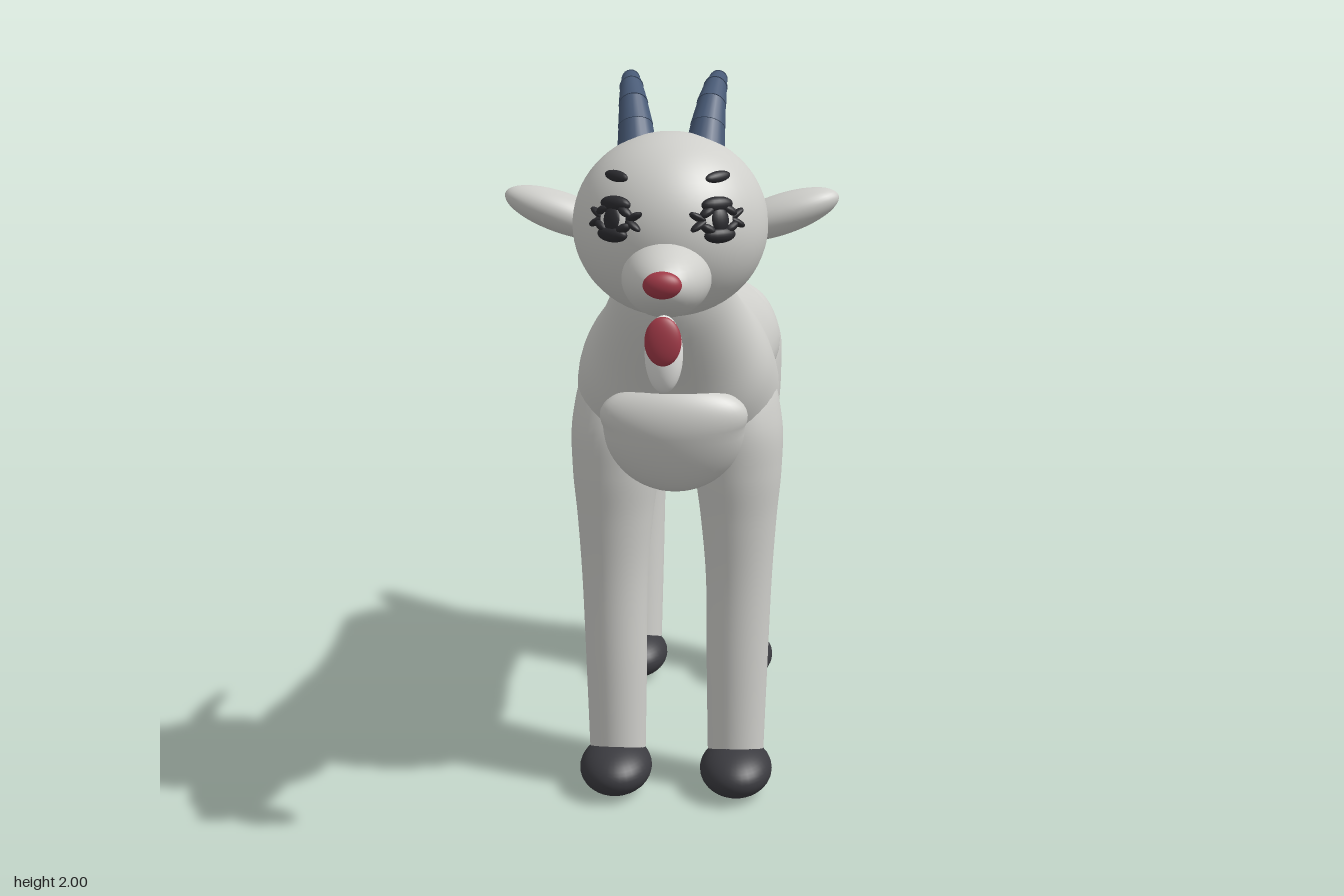
import * as THREE from 'three';

const mat = (name, color) => Object.assign(new THREE.MeshStandardMaterial({ color }), { name });

// Catmull-Rom interpolation through rows of numbers
function sample(rows, t) {
  const n = rows.length - 1;
  const i = Math.min(Math.floor(t * n), n - 1);
  const f = t * n - i;
  const p = k => rows[Math.max(0, Math.min(n, k))];
  return rows[0].map((_, c) => {
    const [a, b, d, e] = [p(i - 1)[c], p(i)[c], p(i + 1)[c], p(i + 2)[c]];
    return b + 0.5 * f * (d - a + f * (2 * a - 5 * b + 4 * d - e + f * (3 * (b - d) + e - a)));
  });
}

// Smooth closed skin; point(row, angle) places each vertex on its ring
function loft(rows, point, steps = 48, sides = 40) {
  const pos = [], idx = [];
  for (let i = 0; i <= steps; i++) {
    const row = sample(rows, i / steps);
    for (let j = 0; j < sides; j++) pos.push(...point(row, j / sides * Math.PI * 2));
  }
  for (let i = 0; i < steps; i++) {
    for (let j = 0; j < sides; j++) {
      const k = (j + 1) % sides;
      const a = i * sides + j, b = i * sides + k, c = a + sides, d = b + sides;
      idx.push(a, b, d, a, d, c);
    }
  }
  const g = new THREE.BufferGeometry();
  g.setAttribute('position', new THREE.Float32BufferAttribute(pos, 3));
  g.setIndex(idx);
  g.computeVertexNormals();
  return g;
}

// Upright limb: rows are [y, z, x, radiusZ, radiusX]
const limb = (rows, side = 1) => loft(rows, ([y, z, x, rz, rx], t) =>
  [side * x + Math.max(rx, 0) * Math.sin(t), y, z + Math.max(rz, 0) * Math.cos(t)]);

export function createModel() {
  const goat = new THREE.Group();
  goat.name = 'goat';
  const coat = mat('coatGrey', 0xcfcfcb);
  const pale = mat('paleWhite', 0xe2e2df);
  const hoofMat = mat('hoofCharcoal', 0x3b3b40);
  const black = mat('eyeBlack', 0x2b2b2f);
  const red = mat('noseRed', 0xa23a48);
  const hornMat = mat('hornBlue', 0x485a76);

  const add = (name, geo, m, parent = goat) => {
    const mesh = new THREE.Mesh(geo, m);
    mesh.name = name;
    parent.add(mesh);
    return mesh;
  };
  const ball = (name, m, p, r, rot = [0, 0, 0], parent = goat, seg = 32) => {
    const mesh = add(name, new THREE.SphereGeometry(1, seg, seg * 0.75), m, parent);
    mesh.position.set(...p);
    mesh.scale.set(...r);
    mesh.rotation.set(...rot);
    return mesh;
  };

  // Neck and torso: [topZ, topY, bottomZ, bottomY, halfWidth]
  const torso = [
    [0.36, 1.60, 0.52, 1.50, 0.12], [0.27, 1.54, 0.50, 1.38, 0.15],
    [0.17, 1.48, 0.41, 1.20, 0.20], [0.06, 1.44, 0.33, 1.05, 0.25],
    [-0.03, 1.41, 0.20, 0.92, 0.27], [-0.10, 1.40, 0.0, 0.88, 0.265],
    [-0.27, 1.38, -0.25, 0.875, 0.24], [-0.45, 1.35, -0.48, 0.885, 0.255],
    [-0.60, 1.32, -0.62, 0.92, 0.275], [-0.72, 1.30, -0.72, 0.97, 0.25],
    [-0.79, 1.26, -0.78, 1.02, 0.17], [-0.80, 1.15, -0.80, 1.15, 0],
  ];
  add('torso', loft(torso, ([tz, ty, bz, by, w], t) => {
    const c = Math.cos(t);
    return [w * Math.sin(t) * (1 - 0.15 * c), (ty + by) / 2 + (ty - by) / 2 * c, (tz + bz) / 2 + (tz - bz) / 2 * c];
  }, 72, 48), coat);

  // Tail running down into the rump
  add('tail', limb([
    [0.94, -0.755, 0, 0, 0], [0.945, -0.755, 0, 0.025, 0.03], [1.01, -0.74, 0, 0.055, 0.08],
    [1.10, -0.765, 0, 0.065, 0.10], [1.21, -0.80, 0, 0.065, 0.085], [1.29, -0.84, 0, 0.052, 0.055],
    [1.345, -0.866, 0, 0.043, 0.045], [1.38, -0.873, 0, 0.026, 0.027], [1.39, -0.874, 0, 0, 0],
  ]), coat);

  // Chest patch with a flattened top edge
  const chestGeo = new THREE.SphereGeometry(1, 40, 30);
  const cp = chestGeo.attributes.position;
  for (let i = 0; i < cp.count; i++) {
    const y = cp.getY(i);
    if (y > 0) cp.setXYZ(i, cp.getX(i) * (1 + 0.3 * y), y * 0.115, cp.getZ(i));
    else cp.setY(i, y * 0.19);
  }
  chestGeo.computeVertexNormals();
  const chest = add('chestPatch', chestGeo, coat);
  chest.position.set(0, 1.085, 0.35);
  chest.scale.set(0.185, 1, 0.085);
  chest.rotation.x = 0.2;

  // Legs and hooves
  const front = [
    [0.11, 0.195, 0.165, 0.076, 0.078], [0.35, 0.186, 0.167, 0.081, 0.084],
    [0.60, 0.178, 0.17, 0.084, 0.090], [0.78, 0.175, 0.168, 0.095, 0.103],
    [0.92, 0.172, 0.165, 0.11, 0.118], [1.06, 0.16, 0.16, 0.12, 0.122],
    [1.20, 0.13, 0.14, 0.10, 0.10], [1.30, 0.10, 0.11, 0, 0],
  ];
  const rear = [
    [0.11, -0.645, 0.165, 0.077, 0.078], [0.35, -0.682, 0.166, 0.088, 0.084],
    [0.55, -0.699, 0.168, 0.095, 0.09], [0.72, -0.693, 0.17, 0.103, 0.097],
    [0.86, -0.660, 0.168, 0.125, 0.109], [0.98, -0.640, 0.165, 0.143, 0.118],
    [1.11, -0.650, 0.16, 0.13, 0.118], [1.22, -0.66, 0.135, 0.09, 0.09], [1.29, -0.66, 0.11, 0, 0],
  ];

  // Head, muzzle, nose, tongue and beard
  ball('head', coat, [0, 1.645, 0.513], [0.24, 0.226, 0.236], [0, 0, 0], goat, 48);
  ball('muzzle', coat, [0, 1.548, 0.685], [0.108, 0.093, 0.205], [-0.06, 0, 0]);
  ball('nose', red, [0, 1.57, 0.892], [0.045, 0.032, 0.026]);
  ball('tongue', red, [0, 1.433, 0.87], [0.043, 0.058, 0.018], [-0.08, 0, 0]);
  ball('beard', pale, [0, 1.393, 0.828], [0.045, 0.092, 0.041], [-0.08, 0, 0]);

  const headCentre = new THREE.Vector3(0, 1.645, 0.513);
  // A group on the head surface whose z axis points outward
  const onHead = (name, x, y, z) => {
    const g = new THREE.Group();
    g.name = name;
    g.position.set(x, y, z);
    g.lookAt(new THREE.Vector3(x, y, z).multiplyScalar(2).sub(headCentre));
    goat.add(g);
    return g;
  };

  for (const s of [1, -1]) {
    const side = s > 0 ? 'left' : 'right';
    add(side + 'FrontLeg', limb(front, s), coat);
    add(side + 'RearLeg', limb(rear, s), coat);
    ball(side + 'FrontHoof', hoofMat, [s * 0.167, 0.07, 0.245], [0.1, 0.068, 0.127], [0.06, 0, 0]);
    ball(side + 'RearHoof', hoofMat, [s * 0.167, 0.07, -0.594], [0.1, 0.068, 0.127], [0.06, 0, 0]);
    ball(side + 'Ear', coat, [s * 0.27, 1.662, 0.463], [0.15, 0.05, 0.065], [0, 0, s * 0.33]);

    // Eye: pale ball, dark pupil, lids and side lashes
    const eye = onHead(side + 'Eye', s * 0.12, 1.69, 0.708);
    ball('eyeball', pale, [0, 0, 0], [0.044, 0.044, 0.018], [0, 0, 0], eye, 20);
    ball('pupil', black, [0, 0, 0.012], [0.024, 0.03, 0.012], [0, 0, 0], eye, 16);
    for (const v of [1, -1]) {
      ball('lid', black, [0, v * 0.036, 0.006], [0.042, 0.019, 0.018], [0, 0, 0], eye, 16);
      for (const h of [1, -1]) {
        ball('lash', black, [h * 0.05, v * 0.009, 0], [0.026, 0.009, 0.014], [0, 0, h * v * 0.5], eye, 12);
        ball('lidCorner', black, [h * 0.03, v * 0.02, 0.008], [0.022, 0.011, 0.014], [0, 0, -h * v * 0.5], eye, 12);
      }
    }
    const brow = onHead(side + 'Brow', s * 0.12, 1.786, 0.668);
    ball('eyebrow', black, [0, 0, 0], [0.037, 0.014, 0.011], [0, 0, s * 0.1], brow, 16);

    // Horn: overlapping tapered segments along a backward curve
    const horn = new THREE.Group();
    horn.name = side + 'Horn';
    goat.add(horn);
    const path = new THREE.CatmullRomCurve3([
      [0.083, 1.825, 0.475], [0.092, 1.90, 0.43], [0.103, 1.955, 0.365],
      [0.111, 1.974, 0.28], [0.117, 1.957, 0.165],
    ].map(([x, y, z]) => new THREE.Vector3(s * x, y, z)));
    const count = 6;
    for (let i = 0; i < count; i++) {
      const a = path.getPointAt(i / count), b = path.getPointAt((i + 1) / count);
      const r = 0.05 - 0.0066 * i;
      const dir = b.clone().sub(a);
      const seg = add('hornSegment', new THREE.CylinderGeometry(r - 0.009, r, dir.length() + 0.012, 20), hornMat, horn);
      seg.position.copy(a).add(b).multiplyScalar(0.5);
      seg.quaternion.setFromUnitVectors(new THREE.Vector3(0, 1, 0), dir.normalize());
    }
  }
  return goat;
}
